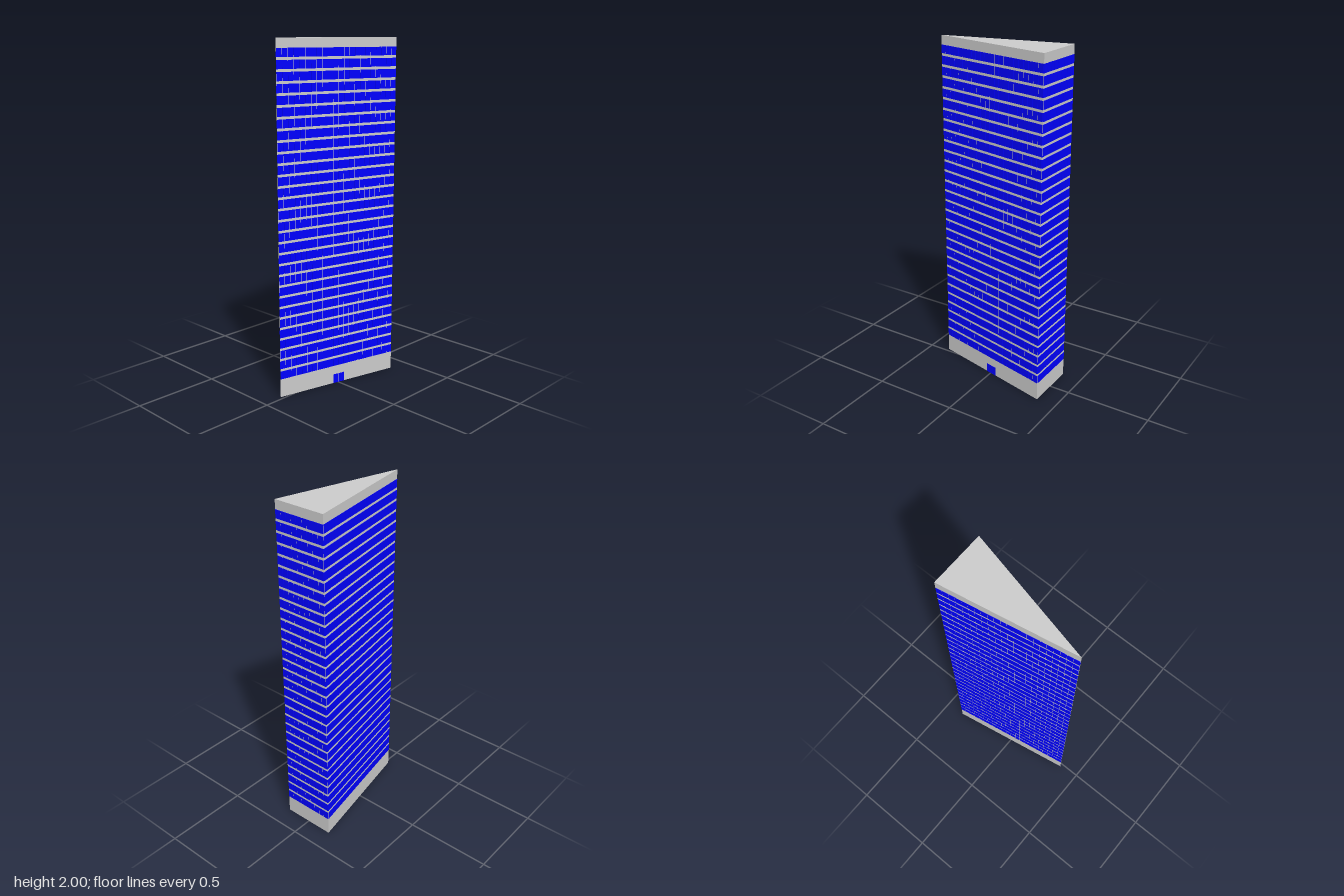
import * as THREE from 'three';
import { mergeGeometries } from 'three/addons/utils/BufferGeometryUtils.js';

const HEIGHT = 2;
const FLOORS = 30, FLOOR_PITCH = 0.0618, FIRST_SILL = 0.108;
const WINDOW_HEIGHT = 0.047, MULLION = 0.002, GLASS_DEPTH = 0.003;

// Plan corners (x, z), in order so each wall's outside lies on its local +z
const TIP = [-0.378, -0.02], FRONT = [0.378, 0.159], BACK = [0.378, -0.159];

const concrete = new THREE.MeshStandardMaterial({ color: 0xcccccc });
const glass = new THREE.MeshStandardMaterial({ color: 0x0000ff });

// Thin pane centred on a wall plane, positioned by its bottom centre
function pane(x, y, width, height) {
  return new THREE.BoxGeometry(width, height, GLASS_DEPTH).translate(x, y + height / 2, 0);
}

// Group whose local x runs along the wall from p to q and whose z points outwards
function wallFrame(name, p, q) {
  const frame = new THREE.Group();
  frame.name = name;
  frame.position.set((p[0] + q[0]) / 2, 0, (p[1] + q[1]) / 2);
  frame.rotation.y = Math.atan2(p[1] - q[1], q[0] - p[0]);
  return frame;
}

function addMesh(parent, name, geometry, material) {
  const mesh = new THREE.Mesh(geometry, material);
  mesh.name = name;
  parent.add(mesh);
}

// Grid of windows filling one wall
function windowGrid(length, columns) {
  const pitch = length / columns;
  const panes = [];
  for (let floor = 0; floor < FLOORS; floor++) {
    for (let col = 0; col < columns; col++) {
      const x = (col + 0.5) * pitch - length / 2;
      panes.push(pane(x, FIRST_SILL + floor * FLOOR_PITCH, pitch - MULLION, WINDOW_HEIGHT));
    }
  }
  return mergeGeometries(panes);
}

export function createModel() {
  const tower = new THREE.Group();
  tower.name = 'wedgeTower';

  // Solid triangular body
  const plan = new THREE.Shape([TIP, FRONT, BACK].map(([x, z]) => new THREE.Vector2(x, -z)));
  const body = new THREE.ExtrudeGeometry(plan, { depth: HEIGHT, bevelEnabled: false });
  addMesh(tower, 'body', body.rotateX(-Math.PI / 2), concrete);

  // Window walls
  const walls = [
    ['frontFacade', TIP, FRONT, 22],
    ['sideFacade', FRONT, BACK, 9],
    ['backFacade', BACK, TIP, 22],
  ];
  for (const [name, p, q, columns] of walls) {
    const facade = wallFrame(name, p, q);
    const length = Math.hypot(q[0] - p[0], q[1] - p[1]);
    addMesh(facade, 'windows', windowGrid(length, columns), glass);

    // Double entrance door at street level
    if (name === 'frontFacade') {
      for (const [doorName, x] of [['rightDoor', -0.014], ['leftDoor', 0.024]]) {
        addMesh(facade, doorName, pane(x, 0, 0.036, 0.054), glass);
      }
    }
    tower.add(facade);
  }
  return tower;
}
